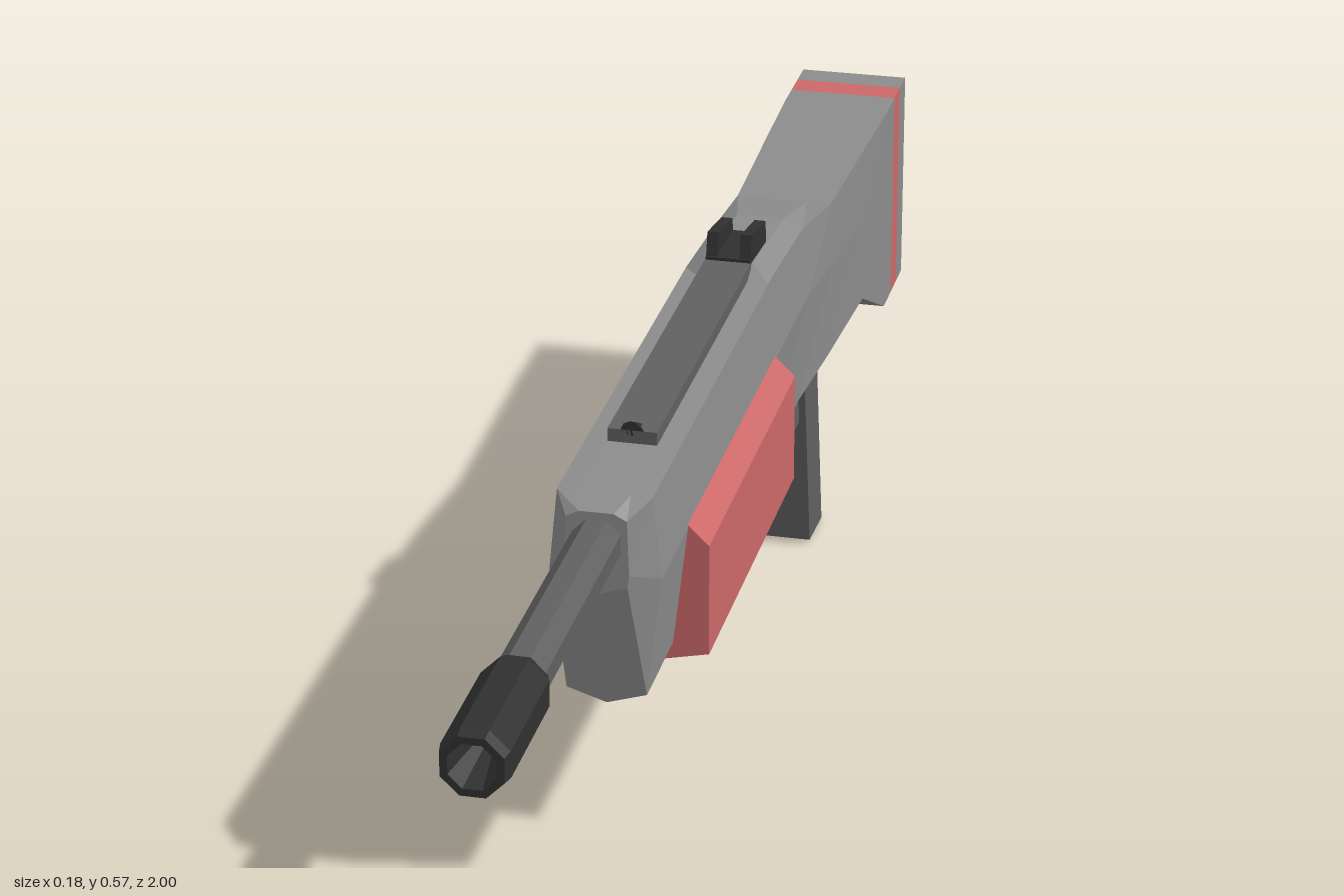
import * as THREE from 'three';

const mat = (name, color) => {
  const m = new THREE.MeshStandardMaterial({ color });
  m.name = name;
  return m;
};

export function createModel() {
  const bodyGrey = mat('body grey', 0x8c8c8c);
  const red = mat('dusty red', 0xcc6868);
  const darkGrey = mat('dark grey', 0x606060);
  const black = mat('near black', 0x303030);
  const group = new THREE.Group();

  // Faceted mesh: unshared vertices give flat normals
  function add(name, geometry, material) {
    const g = geometry.index ? geometry.toNonIndexed() : geometry;
    g.computeVertexNormals();
    const mesh = new THREE.Mesh(g, material);
    mesh.name = name;
    group.add(mesh);
    return mesh;
  }

  // Loft from mirrored half sections: { z, half: [[x, y], ...] }, front to back
  function loft(sections) {
    const rings = sections.map(({ z, half }) => {
      const mirror = half.filter(p => p[0] > 0).reverse().map(([x, y]) => [-x, y]);
      return [...half, ...mirror].map(([x, y]) => [x, y, z]);
    });
    const n = rings[0].length, last = rings.length - 1, index = [];
    for (let k = 0; k < last; k++) {
      for (let i = 0; i < n; i++) {
        const j = (i + 1) % n;
        const a = k * n + i, b = k * n + j, c = a + n, d = b + n;
        index.push(c, d, a, d, b, a);
      }
    }
    for (let i = 1; i < n - 1; i++) {
      index.push(0, i, i + 1, last * n, last * n + i + 1, last * n + i);
    }
    const g = new THREE.BufferGeometry();
    g.setAttribute('position', new THREE.Float32BufferAttribute(rings.flat(2), 3));
    g.setIndex(index);
    return g;
  }

  const polygon = pts => new THREE.Shape(pts.map(p => new THREE.Vector2(...p)));

  // Side profile given as [z, y], extruded across x around the given centre
  function sideExtrude(pts, width, x = 0, hole) {
    const shape = polygon(pts);
    if (hole) shape.holes.push(polygon(hole));
    return new THREE.ExtrudeGeometry(shape, { depth: width, bevelEnabled: false })
      .translate(0, 0, -width / 2).rotateY(-Math.PI / 2).translate(x, 0, 0);
  }

  // Eight-sided turned part along z, profile as [radius, z]
  const turned = pts => new THREE.LatheGeometry(pts.map(p => new THREE.Vector2(...p)), 8)
    .rotateY(Math.PI / 8).rotateX(Math.PI / 2).translate(0, 0.478, 0);

  // Receiver and stock: keel, lower corner, widest point, shoulder, top edge
  const receiver = [[0, 0.255], [0.047, 0.27], [0.065, 0.42], [0.055, 0.52], [0.03, 0.521]];
  const hump = [...receiver.slice(0, 4), [0.03, 0.534]];
  const butt = [[0, 0.193], [0.072, 0.193], [0.072, 0.36], [0.072, 0.483], [0.03, 0.483]];
  add('body', loft([
    { z: 0.48, half: [[0, 0.413], [0.035, 0.425], [0.037, 0.44], [0.035, 0.507], [0.02, 0.515]] },
    { z: 0.44, half: receiver },
    { z: -0.17, half: receiver },
    { z: -0.2, half: hump },
    { z: -0.38, half: [[0, 0.26], [0.052, 0.268], [0.065, 0.42], [0.055, 0.508], [0.03, 0.52]] },
    { z: -0.53, half: [[0, 0.264], [0.06, 0.266], [0.066, 0.4], [0.062, 0.483], [0.03, 0.483]] },
    { z: -0.73, half: [[0, 0.264], [0.068, 0.264], [0.069, 0.38], [0.068, 0.483], [0.03, 0.483]] },
    { z: -0.87, half: butt },
    { z: -0.92, half: butt },
  ]), bodyGrey);
  add('stockStripe', loft([{ z: -0.92, half: butt }, { z: -0.96, half: butt }]), red);
  add('buttEnd', loft([{ z: -0.96, half: butt }, { z: -1, half: butt }]), bodyGrey);

  // Handguard wrapped around the lower receiver
  const guardHalf = [[0, 0.24], [0.09, 0.26], [0.09, 0.4], [0.064, 0.425]];
  add('handguard', loft([{ z: 0.31, half: guardHalf }, { z: -0.17, half: guardHalf }]), red);

  // Grip and trigger guard
  add('grip', sideExtrude([[-0.505, 0.005], [-0.585, 0], [-0.535, 0.28], [-0.455, 0.28]], 0.088), darkGrey);
  add('triggerGuard', sideExtrude(
    [[-0.285, 0.195], [-0.285, 0.275], [-0.485, 0.275], [-0.485, 0.195]], 0.07, 0,
    [[-0.308, 0.225], [-0.47, 0.225], [-0.47, 0.268], [-0.308, 0.268]]), darkGrey);

  // Barrel and hollow muzzle
  add('barrel', turned([[0.03, 0.44], [0.03, 0.84]]), darkGrey);
  add('muzzle', turned([
    [0, 0.815], [0.034, 0.815], [0.04, 0.83], [0.04, 0.985], [0.037, 1], [0.028, 1], [0.005, 0.9], [0, 0.9],
  ]), black);

  // Sighting rib, front bead and two-pronged rear sight
  add('topRib', new THREE.BoxGeometry(0.058, 0.022, 0.5).translate(0, 0.526, 0.06), darkGrey);
  add('frontSight', loft([
    { z: 0.31, half: [[0, 0.53], [0.016, 0.535], [0.003, 0.548]] },
    { z: 0.29, half: [[0, 0.53], [0.016, 0.535], [0.003, 0.538]] },
  ]), black);
  add('rearSightBase', new THREE.BoxGeometry(0.056, 0.012, 0.09).translate(0, 0.535, -0.235), black);
  for (const side of [-1, 1]) {
    add(side > 0 ? 'rearSightLeft' : 'rearSightRight', sideExtrude(
      [[-0.19, 0.53], [-0.2, 0.57], [-0.28, 0.557], [-0.285, 0.525]], 0.014, side * 0.021), black);
  }
  return group;
}
